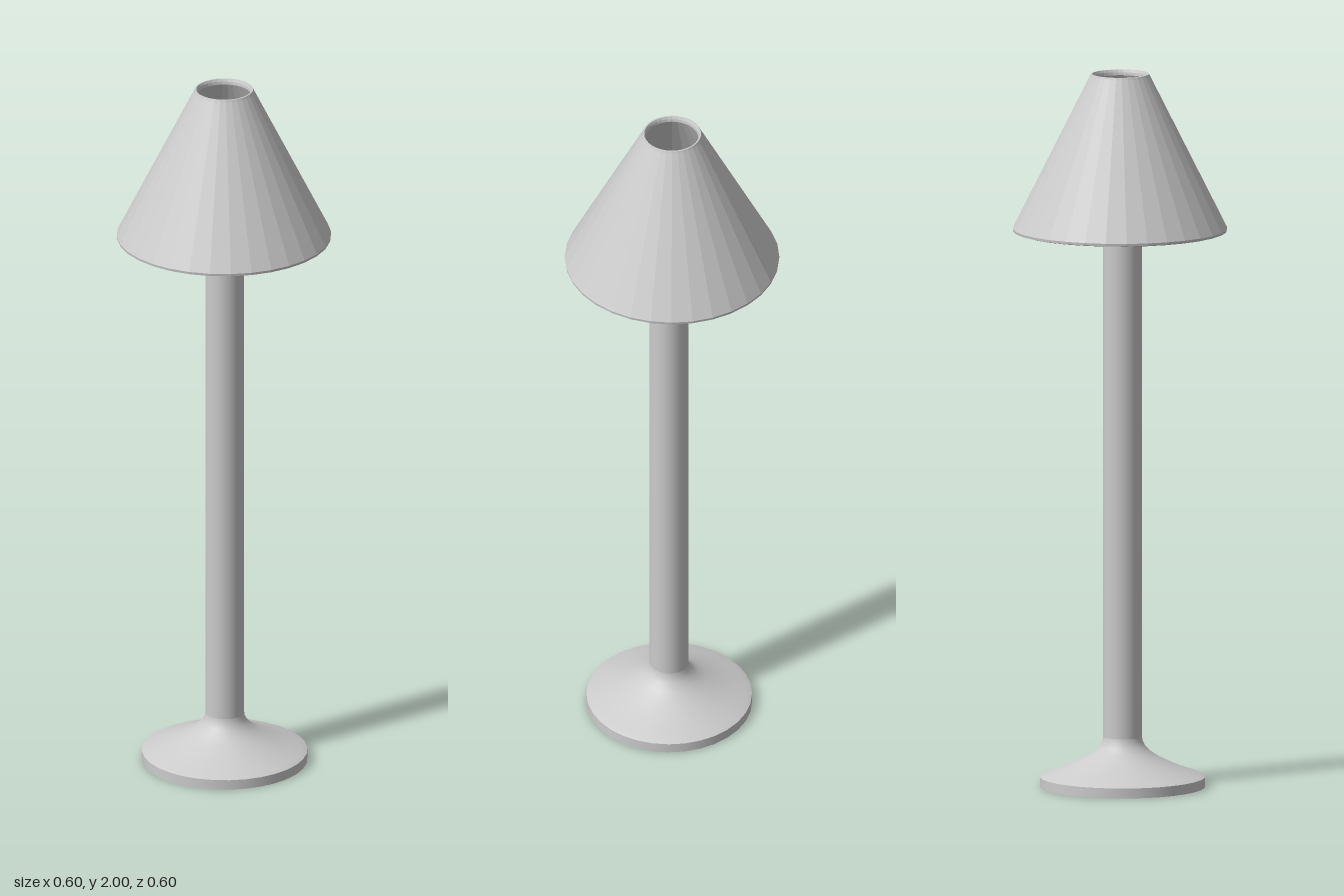
import * as THREE from 'three';

const SIDES = 32;

function createMaterial(flatShading = false) {
  return new THREE.MeshStandardMaterial({ color: 0xcccccc, flatShading });
}

function addMesh(parent, name, geometry, material, y = 0) {
  const mesh = new THREE.Mesh(geometry, material);
  mesh.name = name;
  mesh.position.y = y;
  parent.add(mesh);
}

function lathe(points) {
  return new THREE.LatheGeometry(points.map(([r, y]) => new THREE.Vector2(r, y)), SIDES);
}

export function createModel() {
  const lamp = new THREE.Group();
  lamp.name = 'floorLamp';
  const smooth = createMaterial();
  const faceted = createMaterial(true);

  // The stand sits very slightly off the shade's axis
  const stand = new THREE.Group();
  stand.name = 'stand';
  stand.position.set(0.003, 0, 0.008);
  lamp.add(stand);

  // Flat disc foot
  addMesh(stand, 'baseDisc', new THREE.CylinderGeometry(0.23, 0.23, 0.028, SIDES), smooth, 0.014);

  // Concave flare from the disc up into the pole
  const flare = [[0.23, 0.028], [0.215, 0.035], [0.18, 0.047], [0.14, 0.064], [0.105, 0.081],
    [0.08, 0.097], [0.064, 0.113], [0.056, 0.128], [0.054, 0.14]];
  addMesh(stand, 'baseFlare', lathe(flare), smooth);

  // Straight pole, ending inside the shade
  const poleBottom = 0.13, poleTop = 1.76;
  addMesh(stand, 'pole', new THREE.CylinderGeometry(0.054, 0.054, poleTop - poleBottom, SIDES),
    smooth, (poleTop + poleBottom) / 2);

  // Bulb on top of the pole
  addMesh(stand, 'bulb', new THREE.SphereGeometry(0.065, SIDES, 16), faceted, 1.8);

  // Thick conical shade with softened rims: down the inside, up the outside
  const shade = [[0.074, 1.993], [0.073, 1.985], [0.274, 1.572], [0.28, 1.562], [0.29, 1.558],
    [0.297, 1.56], [0.298, 1.567], [0.084, 1.993], [0.081, 2.0], [0.077, 2.0], [0.074, 1.993]];
  addMesh(lamp, 'shade', lathe(shade), faceted);

  return lamp;
}
